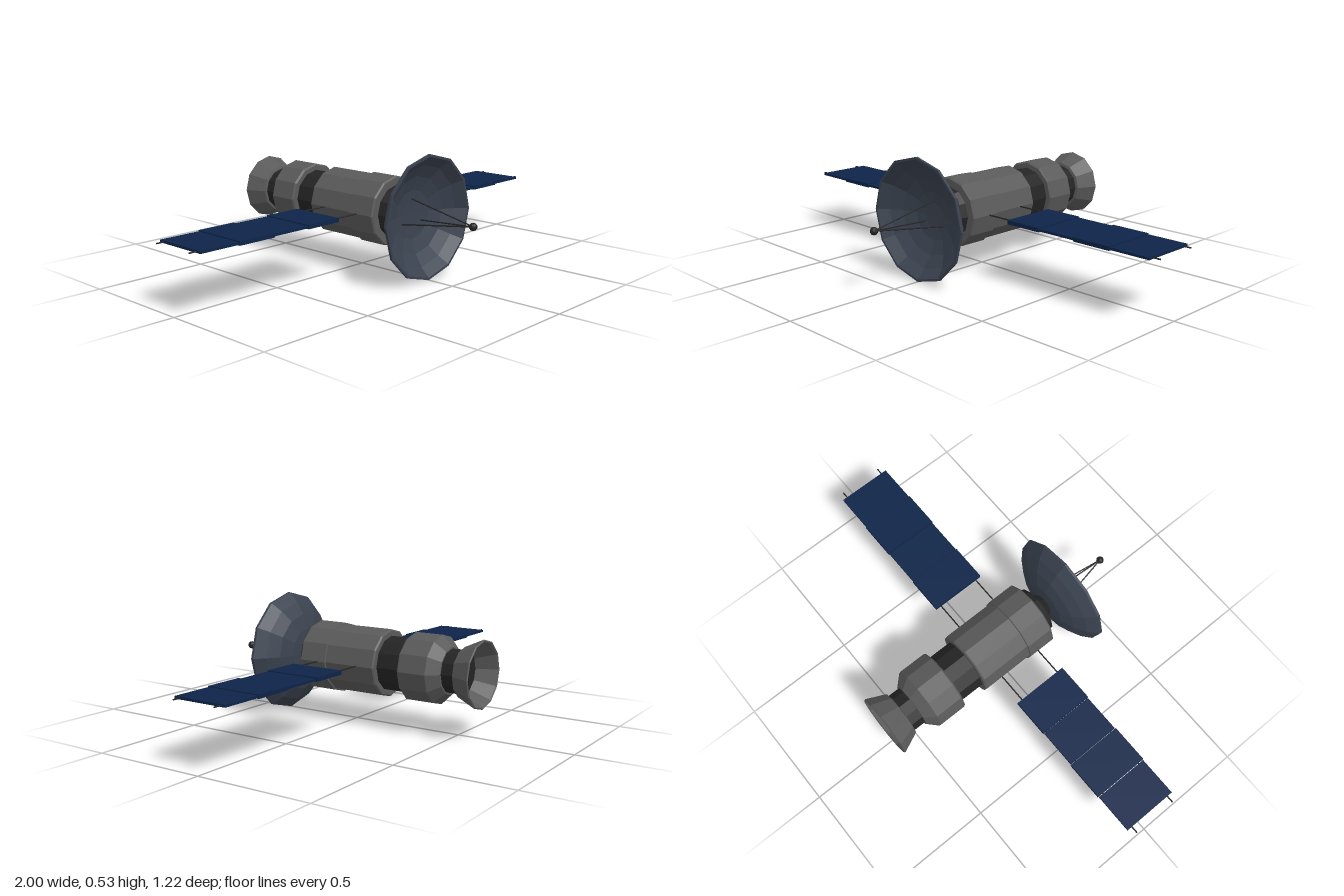
import * as THREE from 'three';

const AXIS_Y = 0.263;

function makeMaterial(name, color, side = THREE.FrontSide) {
  const m = new THREE.MeshStandardMaterial({ color, flatShading: true, side });
  m.name = name;
  return m;
}

export function createModel() {
  const hull = makeMaterial('hullGrey', 0x5a5a5a);
  const dark = makeMaterial('darkMetal', 0x242424);
  const slate = makeMaterial('dishSlate', 0x3a424f);
  const blue = makeMaterial('panelBlue', 0x0d2448);

  const model = new THREE.Group();
  model.name = 'satellite';
  const craft = new THREE.Group();
  craft.name = 'craft';
  craft.position.y = AXIS_Y;
  model.add(craft);

  const add = (name, geometry, material, parent = craft) => {
    const mesh = new THREE.Mesh(geometry, material);
    mesh.name = name;
    parent.add(mesh);
    return mesh;
  };

  // Twelve-sided body of revolution along z; points are [radius, z], back to front
  const turned = (name, points, material) => {
    const g = new THREE.LatheGeometry(points.map(([r, z]) => new THREE.Vector2(r, z)), 12);
    g.rotateX(Math.PI / 2);
    return add(name, g, material);
  };

  // Straight rod between two points
  const rod = (name, a, b, radius, material, parent) => {
    const from = new THREE.Vector3(...a), to = new THREE.Vector3(...b);
    const dir = to.clone().sub(from);
    const mesh = add(name, new THREE.CylinderGeometry(radius, radius, dir.length(), 6), material, parent);
    mesh.position.copy(from).add(to).multiplyScalar(0.5);
    mesh.quaternion.setFromUnitVectors(new THREE.Vector3(0, 1, 0), dir.normalize());
    return mesh;
  };

  // Engine bell: inner wall, rim, outer wall
  turned('engineBell', [
    [0.09, -0.525], [0.132, -0.606], [0.138, -0.61], [0.143, -0.606], [0.105, -0.522], [0.09, -0.518],
  ], hull);
  turned('engineNeck', [[0, -0.525], [0.093, -0.525], [0.093, -0.455]], dark);

  // Rear module, joint, main module and front collar
  turned('rearModule', [
    [0, -0.465], [0.1, -0.465], [0.145, -0.42], [0.145, -0.294], [0.138, -0.287], [0, -0.287],
  ], hull);
  turned('moduleJoint', [[0.117, -0.295], [0.117, -0.165]], dark);
  turned('mainModule', [
    [0, -0.175], [0.139, -0.175], [0.145, -0.169], [0.145, 0.07],
  ], hull);
  turned('frontCollar', [
    [0.143, 0.064], [0.152, 0.067], [0.152, 0.19], [0.146, 0.196], [0, 0.196],
  ], hull);
  turned('frontCap', [[0.116, 0.19], [0.105, 0.228], [0, 0.228]], dark);
  turned('dishMount', [[0.08, 0.225], [0.035, 0.275]], dark);

  // Dish: inner surface first, then the rim is closed by the outer surface
  const outer = [[0, 0.266], [0.06, 0.267], [0.107, 0.271], [0.17, 0.293], [0.222, 0.326], [0.263, 0.366], [0.263, 0.377]];
  const inner = [[0.253, 0.377], [0.215, 0.338], [0.165, 0.306], [0.105, 0.284], [0.055, 0.278], [0, 0.277]];
  turned('antennaDish', [...outer, ...inner], slate);

  // Feed on three struts
  const feed = add('antennaFeed', new THREE.IcosahedronGeometry(0.017, 1), dark);
  feed.position.z = 0.597;
  for (let i = 0; i < 3; i++) {
    const a = Math.PI / 2 + (i * Math.PI * 2) / 3;
    rod('feedStrut', [Math.cos(a) * 0.067, Math.sin(a) * 0.067, 0.276], [0, 0, 0.597], 0.003, dark);
  }

  // Solar wings: alternating thick and thin panels on two rods
  const edges = [0.277, 0.447, 0.62, 0.793, 0.97];
  for (const side of [-1, 1]) {
    const wing = new THREE.Group();
    wing.name = side > 0 ? 'leftSolarWing' : 'rightSolarWing';
    craft.add(wing);
    for (let i = 0; i < 4; i++) {
      const thick = i % 2 === 0;
      const panel = add('solarPanel', new THREE.BoxGeometry(
        edges[i + 1] - edges[i] - 0.003, thick ? 0.017 : 0.01, thick ? 0.248 : 0.242), blue, wing);
      panel.position.set(side * (edges[i] + edges[i + 1]) / 2, 0, 0.01);
    }
    for (const z of [-0.088, 0.107]) {
      rod('wingRod', [side * 0.1, 0, z], [side, 0, z], 0.003, dark, wing);
    }
  }
  return model;
}
